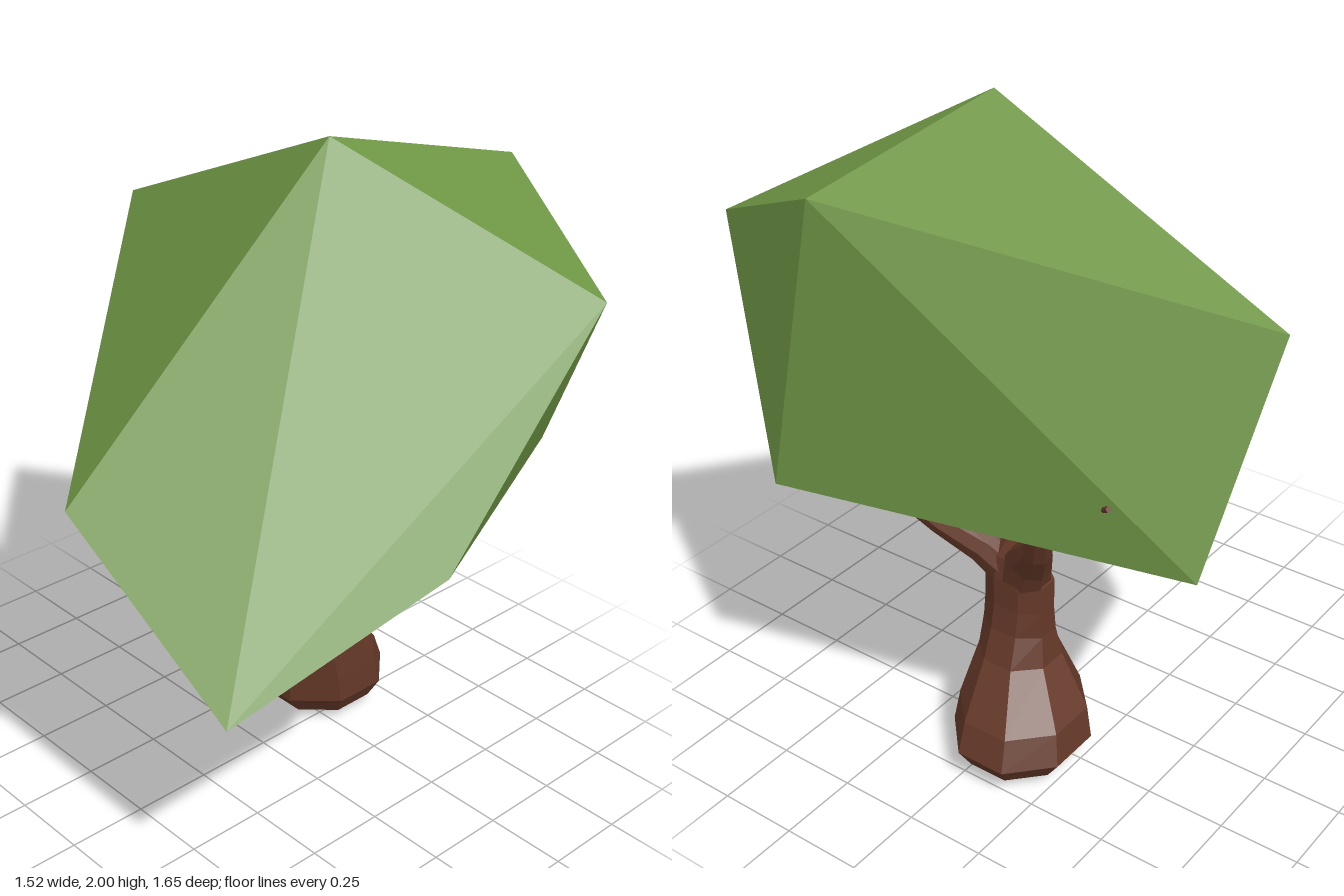
import * as THREE from 'three';
import { ConvexGeometry } from 'three/addons/geometries/ConvexGeometry.js';

const SIDES = 8;
const UP = new THREE.Vector3(0, 1, 0);

// Lofts capped rings; each ring is [x, y, z, rx, rz]. Level rings stay horizontal,
// otherwise they turn to follow the path.
function loft(rings, level) {
  const centres = rings.map(r => new THREE.Vector3(r[0], r[1], r[2]));
  const pos = [], index = [];
  rings.forEach((r, k) => {
    const dir = centres[Math.min(k + 1, rings.length - 1)].clone()
      .sub(centres[Math.max(k - 1, 0)]).normalize();
    const q = new THREE.Quaternion();
    if (!level) q.setFromUnitVectors(UP, dir);
    for (let i = 0; i < SIDES; i++) {
      const a = ((i + 0.5) / SIDES) * Math.PI * 2;
      const p = new THREE.Vector3(Math.cos(a) * r[3], 0, Math.sin(a) * r[4]);
      pos.push(...p.applyQuaternion(q).add(centres[k]).toArray());
    }
  });
  for (let k = 0; k < rings.length - 1; k++) {
    for (let i = 0; i < SIDES; i++) {
      const a = k * SIDES + i, b = k * SIDES + (i + 1) % SIDES;
      index.push(a, a + SIDES, b, b, a + SIDES, b + SIDES);
    }
  }
  // end caps
  const last = (rings.length - 1) * SIDES, c = pos.length / 3;
  pos.push(...centres[0].toArray(), ...centres[rings.length - 1].toArray());
  for (let i = 0; i < SIDES; i++) {
    const j = (i + 1) % SIDES;
    index.push(c, i, j, c + 1, last + j, last + i);
  }
  const g = new THREE.BufferGeometry();
  g.setAttribute('position', new THREE.Float32BufferAttribute(pos, 3));
  g.setIndex(index);
  g.computeVertexNormals();
  return g;
}

export function createModel() {
  const group = new THREE.Group();
  const bark = new THREE.MeshStandardMaterial({ color: 0x643828, flatShading: true });
  const leaf = new THREE.MeshStandardMaterial({ color: 0x6d9444, flatShading: true });

  const add = (name, geometry, material) => {
    const mesh = new THREE.Mesh(geometry, material);
    mesh.name = name;
    group.add(mesh);
  };

  // trunk with a swollen, leaning foot
  add('trunk', loft([
    [0.33, 0.0, -0.09, 0.03, 0.03],
    [0.335, 0.035, -0.085, 0.175, 0.165],
    [0.33, 0.1, -0.09, 0.225, 0.21],
    [0.31, 0.19, -0.08, 0.205, 0.195],
    [0.255, 0.33, -0.03, 0.125, 0.13],
    [0.247, 0.42, -0.022, 0.088, 0.118],
    [0.246, 0.5, -0.022, 0.073, 0.115],
    [0.24, 0.59, -0.02, 0.075, 0.115],
    [0.235, 0.66, -0.01, 0.065, 0.08],
    [0.23, 0.71, -0.01, 0.035, 0.045],
  ], true), bark);

  // three branches running into the crown
  const branches = {
    sideBranch: [
      [0.25, 0.6, -0.01, 0.06, 0.07], [0.17, 0.66, 0.0, 0.052, 0.06],
      [0.07, 0.68, 0.01, 0.038, 0.045], [-0.03, 0.7, 0.025, 0.03, 0.034],
      [-0.1, 0.745, 0.03, 0.022, 0.025], [-0.2, 0.84, 0.03, 0.01, 0.01],
    ],
    frontBranch: [
      [0.24, 0.58, 0.0, 0.06, 0.07], [0.27, 0.66, 0.09, 0.055, 0.055],
      [0.33, 0.74, 0.2, 0.045, 0.042], [0.38, 0.82, 0.29, 0.036, 0.034],
      [0.41, 0.9, 0.36, 0.03, 0.028], [0.44, 1.02, 0.42, 0.01, 0.01],
    ],
    backBranch: [
      [0.24, 0.57, -0.03, 0.07, 0.09], [0.27, 0.67, -0.08, 0.06, 0.07],
      [0.32, 0.76, -0.145, 0.046, 0.046], [0.355, 0.85, -0.18, 0.036, 0.034],
      [0.38, 0.93, -0.22, 0.03, 0.03], [0.45, 1.06, -0.38, 0.022, 0.022],
      [0.525, 1.15, -0.525, 0.008, 0.008],
    ],
  };
  for (const [name, rings] of Object.entries(branches)) add(name, loft(rings, false), bark);

  // faceted crown
  const corners = [
    [0.1, 2.0, 0.15], [0.71, 1.86, 0.27], [0.485, 1.62, 0.81],
    [0.757, 0.995, 0.425], [-0.1, 1.015, 0.825], [-0.69, 0.715, 0.625],
    [-0.76, 1.15, 0.07], [-0.275, 0.655, -0.36], [0.19, 1.595, -0.825],
    [0.46, 0.975, -0.755],
  ].map(p => new THREE.Vector3(...p));
  add('crown', new ConvexGeometry(corners), leaf);

  return group;
}
